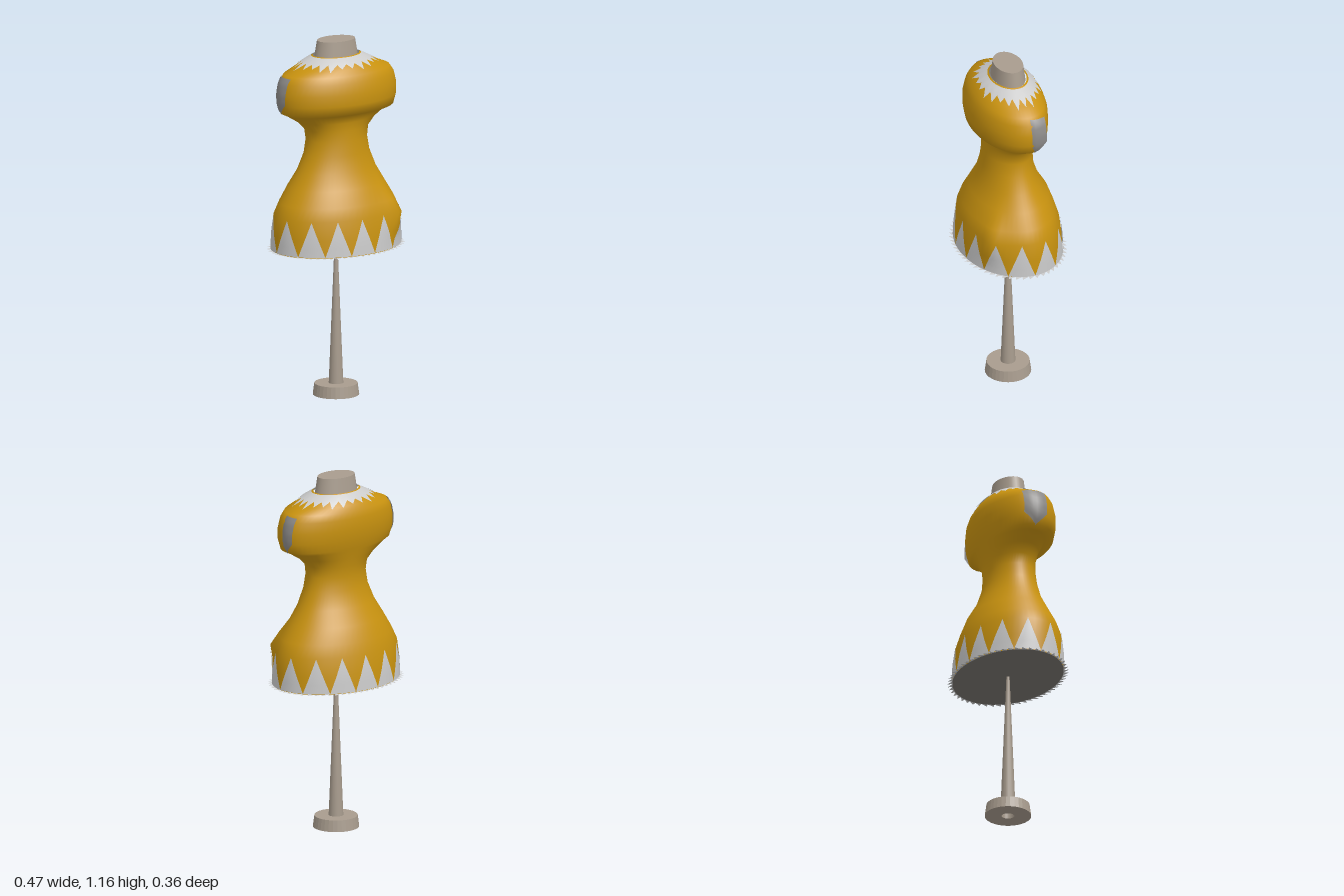
import * as THREE from 'three';

const mat = (color, opts = {}) => new THREE.MeshStandardMaterial({ color, ...opts });
const gold = mat(0xc8920f);
const white = mat(0xe6e6e6, { side: THREE.DoubleSide });
const stone = mat(0xa89c8e);
const grey = mat(0x8c8a88, { side: THREE.DoubleSide });

// Body sections: height, half width, front depth, back depth
const sections = [
  [1.325, 0.22, 0.163, 0.163], [1.38, 0.219, 0.16, 0.16], [1.44, 0.215, 0.153, 0.152],
  [1.48, 0.196, 0.142, 0.14], [1.53, 0.166, 0.118, 0.122], [1.58, 0.136, 0.096, 0.092],
  [1.635, 0.113, 0.086, 0.074], [1.68, 0.105, 0.081, 0.072], [1.715, 0.11, 0.08, 0.076],
  [1.742, 0.137, 0.082, 0.084], [1.768, 0.18, 0.09, 0.09], [1.778, 0.201, 0.124, 0.094],
  [1.81, 0.211, 0.129, 0.102], [1.845, 0.211, 0.13, 0.106], [1.88, 0.203, 0.122, 0.105],
  [1.902, 0.188, 0.112, 0.099], [1.92, 0.145, 0.098, 0.09], [1.938, 0.112, 0.08, 0.074],
  [1.953, 0.08, 0.056, 0.055],
];

function sectionAt(y) {
  let i = 0;
  while (i < sections.length - 2 && y > sections[i + 1][0]) i++;
  const [lo, hi] = [sections[i], sections[i + 1]];
  const t = THREE.MathUtils.clamp((y - lo[0]) / (hi[0] - lo[0]), 0, 1);
  return lo.map((v, k) => THREE.MathUtils.lerp(v, hi[k], t));
}

// Point on the body; the skirt has one corner pulled out at its front left
function onBody(y, angle, offset = 0) {
  const [, a, front, back] = sectionAt(y);
  const c = Math.cos(angle), s = Math.sin(angle);
  const d = Math.abs(Math.atan2(Math.sin(angle - 0.85), Math.cos(angle - 0.85)));
  const corner = d < 0.53 ? 1 / Math.cos(0.53 - d) - 1 : 0;
  const k = 1 + corner * Math.max(0, 1 - Math.abs(y - 1.44) / 0.09);
  return [(a * k + offset) * c, y, ((s > 0 ? front : back) * k + offset) * s];
}

// Surface from rows of points, optionally wrapping round
function loft(rows, closed = false) {
  const n = rows[0].length, index = [];
  for (let r = 0; r < rows.length - 1; r++) {
    for (let i = 0; i < (closed ? n : n - 1); i++) {
      const j = (i + 1) % n, a = r * n + i, b = r * n + j;
      index.push(a, a + n, b, b, a + n, b + n);
    }
  }
  const geo = new THREE.BufferGeometry();
  geo.setAttribute('position', new THREE.Float32BufferAttribute(rows.flat(2), 3));
  geo.setIndex(index);
  geo.computeVertexNormals();
  return geo;
}

export function createModel() {
  const model = new THREE.Group();
  const add = (name, geo, material, parent = model) => {
    const mesh = new THREE.Mesh(geo, material);
    mesh.name = name;
    parent.add(mesh);
    return mesh;
  };
  const group = (name) => {
    const g = new THREE.Group();
    g.name = name;
    model.add(g);
    return g;
  };

  // Dress body
  const SEG = 56;
  const ring = (y) => Array.from({ length: SEG }, (_, i) => onBody(y, (i / SEG) * Math.PI * 2));
  add('dressBody', loft(sections.map((s) => ring(s[0])), true), gold);

  // Flat underside of the skirt
  const underside = add('skirtUnderside', new THREE.CircleGeometry(1, SEG), mat(0x77736e));
  underside.rotation.x = Math.PI / 2;
  underside.scale.set(0.22, 0.163, 1);
  underside.position.y = 1.325;

  // Evenly spaced angles round the hem
  const hem = new THREE.EllipseCurve(0, 0, 0.22, 0.163);
  const hemAngle = (t) => {
    const p = hem.getPointAt(((t % 1) + 1) % 1);
    return Math.atan2(p.y / 0.163, p.x / 0.22);
  };

  // Tall pointed trim on the skirt
  const trim = group('skirtTrim');
  const TEETH = 14;
  for (let i = 0; i < TEETH; i++) {
    const mid = (i + 0.5) / TEETH;
    const rows = [1.327, 1.355, 1.38, 1.41, 1.44].map((y) => {
      const w = (0.5 / TEETH) * (1 - (y - 1.327) / 0.113);
      return [-1, -0.5, 0, 0.5, 1].map((u) => onBody(y, hemAngle(mid + u * w), 0.003));
    });
    add('trimPoint', loft(rows), white, trim);
  }

  // Small slanted saw teeth round the hem
  const saw = [];
  const SAW = 58;
  for (let i = 0; i < SAW; i++) {
    const a = hemAngle(i / SAW), b = hemAngle((i + 1) / SAW);
    saw.push(...onBody(1.325, a), ...onBody(1.325, b), ...onBody(1.325, b, 0.016));
  }
  const sawGeo = new THREE.BufferGeometry();
  sawGeo.setAttribute('position', new THREE.Float32BufferAttribute(saw, 3));
  sawGeo.computeVertexNormals();
  add('hemFringe', sawGeo, white);

  // Jagged collar lying on the shoulders
  const POINTS = 24;
  const collarRow = (f) => Array.from({ length: POINTS * 2 }, (_, i) => {
    const low = i % 2 ? 1.936 : 1.92 + 0.005 * Math.sin(i * 2.3);
    return onBody(THREE.MathUtils.lerp(low, 1.952, f), (i / POINTS) * Math.PI, 0.004);
  });
  add('collar', loft([0, 0.35, 0.7, 1].map(collarRow), true), white);

  // Pointed patches closing the arm openings
  for (const side of [1, -1]) {
    const rows = [];
    for (let r = 0; r <= 8; r++) {
      const row = [];
      for (let c = 0; c <= 6; c++) {
        const u = c / 3 - 1, z = -0.008 + u * 0.037;
        const y = THREE.MathUtils.lerp(1.775 + 0.04 * Math.abs(u), 1.897, r / 8);
        const [, a, front, back] = sectionAt(y);
        const x = a * Math.sqrt(1 - (z / (z > 0 ? front : back)) ** 2) + 0.004;
        row.push([side * x, y, -side * z - (side > 0 ? 0.016 : 0)]);
      }
      rows.push(row);
    }
    // Keep both patches at the same depth
    if (side > 0) rows.forEach((row) => {
      const zs = row.map((p) => p[2]);
      row.forEach((p, i) => { p[2] = zs[i]; });
    });
    add(side > 0 ? 'leftArmPatch' : 'rightArmPatch', loft(rows), grey);
  }

  // Oval neck block with a bevelled cap
  const v = (x, y) => new THREE.Vector2(x, y);
  const neck = add('neck', new THREE.CylinderGeometry(0.066, 0.075, 0.052, 40), stone);
  neck.position.y = 1.974;
  neck.scale.z = 0.68;

  // Tapered pole and foot
  const pole = add('standPole', new THREE.CylinderGeometry(0.005, 0.024, 0.465, 16), stone);
  pole.position.y = 1.0975;
  const foot = [v(0.02, 0.868), v(0.02, 0.838), v(0.074, 0.838), v(0.074, 0.838), v(0.069, 0.875), v(0.069, 0.875), v(0.01, 0.875)];
  const footGeo = new THREE.LatheGeometry(foot, 32).toNonIndexed();
  footGeo.computeVertexNormals();
  add('standFoot', footGeo, stone);

  return model;
}
